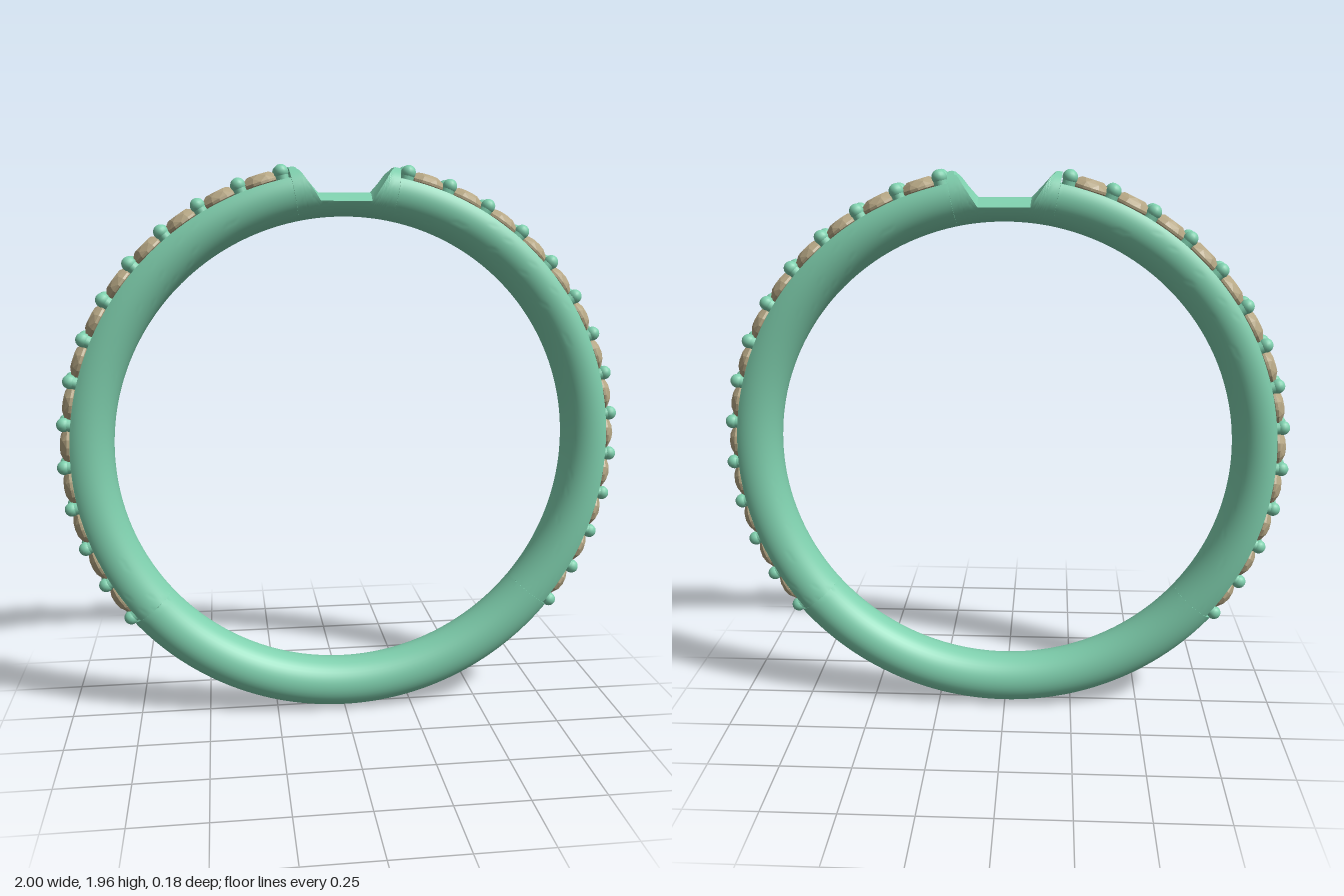
import * as THREE from 'three';
import { toCreasedNormals } from 'three/addons/utils/BufferGeometryUtils.js';
import { ConvexGeometry } from 'three/addons/geometries/ConvexGeometry.js';

const CENTRE_Y = 0.985;          // middle of the finger hole
const R = 0.895, TUBE = 0.09;    // band centre line and section radius
const SEAT = 0.948;              // outer radius of the band under the stones
const SEAT_FROM = 11.2, SEAT_TO = 129; // stone zone, degrees from the top
const FIRST = 12.8, PITCH = 8.84, STONES = 13;
const rad = THREE.MathUtils.degToRad;

// Outer radius of the band at an angle from the top, and the crown of its cut face
function bandCut(deg) {
  const d = Math.abs(deg), a = rad(d);
  if (d > SEAT_TO) return [R + TUBE, 0];
  if (d > SEAT_FROM) return [SEAT, 0];
  const slope = 1.06;
  const flat = 0.885 / Math.cos(a);
  const ramp = (0.885 - 0.09 * slope) / (Math.cos(a) - slope * Math.sin(a));
  return [Math.min(R + TUBE, Math.max(flat, ramp)), 0.03 * THREE.MathUtils.clamp((9 - d) / 3.2, 0, 1)];
}

// Closed round section, sliced on the outside where the band is cut
function bandSection(deg) {
  const [outer, crown] = bandCut(deg);
  const edge = outer - R - crown;
  const t0 = Math.asin(Math.min(edge / TUBE, 0.87));
  const w = TUBE * Math.cos(t0), pts = [];
  const ARC = 36, TOP = 12;
  for (let i = 0; i < ARC; i++) {
    const t = Math.PI - t0 + (Math.PI + 2 * t0) * i / ARC;
    pts.push([TUBE * Math.sin(t), TUBE * Math.cos(t)]);
  }
  for (let i = 0; i < TOP; i++) {
    const z = w * (1 - 2 * i / TOP);
    const round = Math.sqrt(TUBE * TUBE - z * z);
    pts.push([Math.min(round, edge + crown * (1 - (z / w) ** 2)), z]);
  }
  return pts;
}

function bandGeometry() {
  const angles = [];
  for (let d = -180; d < 180; d += 1.5) angles.push(d);
  for (let d = 0.35; d < 11; d += 0.45) angles.push(d, -d);
  for (const s of [SEAT_FROM, SEAT_TO]) {
    for (const e of [-0.02, 0.02]) angles.push(s + e, -s - e);
  }
  angles.sort((a, b) => a - b);
  const pos = [], index = [];
  let n = 0;
  angles.forEach((d, i) => {
    const a = rad(d), section = bandSection(d);
    n = section.length;
    for (const [u, z] of section) pos.push((R + u) * Math.sin(a), (R + u) * Math.cos(a), z);
    const i2 = (i + 1) % angles.length;
    for (let j = 0; j < n; j++) {
      const k = (j + 1) % n;
      index.push(i * n + j, i2 * n + j, i2 * n + k, i * n + j, i2 * n + k, i * n + k);
    }
  });
  const g = new THREE.BufferGeometry();
  g.setAttribute('position', new THREE.Float32BufferAttribute(pos, 3));
  g.setIndex(index);
  return toCreasedNormals(g, rad(28));
}

// Faceted round stone: table, crown, girdle and point
function stoneGeometry() {
  const pts = [];
  const ring = (n, r, y, turn) => {
    for (let i = 0; i < n; i++) {
      const a = (i + turn) * 2 * Math.PI / n;
      pts.push(new THREE.Vector3(r * Math.cos(a), y, r * Math.sin(a)));
    }
  };
  ring(8, 0.038, 0.03, 0);
  ring(8, 0.057, 0.019, 0.5);
  ring(16, 0.069, 0.004, 0);
  ring(16, 0.069, -0.004, 0);
  pts.push(new THREE.Vector3(0, -0.05, 0));
  return new ConvexGeometry(pts);
}

export function createModel() {
  const model = new THREE.Group();
  model.name = 'ring';
  const metal = new THREE.MeshStandardMaterial({ color: 0x7fd0ae });
  const gem = new THREE.MeshStandardMaterial({ color: 0xb5a684 });
  const add = (parent, name, geometry, material, x, y, z) => {
    const mesh = new THREE.Mesh(geometry, material);
    mesh.name = name;
    mesh.position.set(x, y, z);
    parent.add(mesh);
  };

  add(model, 'band', bandGeometry(), metal, 0, CENTRE_Y, 0);

  // Stones and round-headed prongs along both shoulders
  const stone = stoneGeometry();
  const head = new THREE.SphereGeometry(0.025, 16, 12);
  const post = new THREE.CylinderGeometry(0.022, 0.022, 0.05, 14);
  for (const side of [1, -1]) {
    const shoulder = new THREE.Group();
    shoulder.name = side > 0 ? 'leftShoulder' : 'rightShoulder';
    shoulder.position.y = CENTRE_Y;
    model.add(shoulder);
    for (let i = 0; i <= STONES; i++) {
      const prongs = new THREE.Group();
      prongs.name = 'prongPair';
      prongs.rotation.z = -side * rad(FIRST + i * PITCH);
      for (const z of [0.037, -0.037]) {
        add(prongs, 'prongHead', head, metal, 0, 0.974, z);
        add(prongs, 'prongPost', post, metal, 0, 0.949, z);
      }
      shoulder.add(prongs);
      if (i === STONES) continue;
      const setting = new THREE.Group();
      setting.name = 'stoneSetting';
      setting.rotation.z = -side * rad(FIRST + (i + 0.5) * PITCH);
      add(setting, 'stone', stone, gem, 0, 0.955, 0);
      shoulder.add(setting);
    }
  }
  return model;
}
